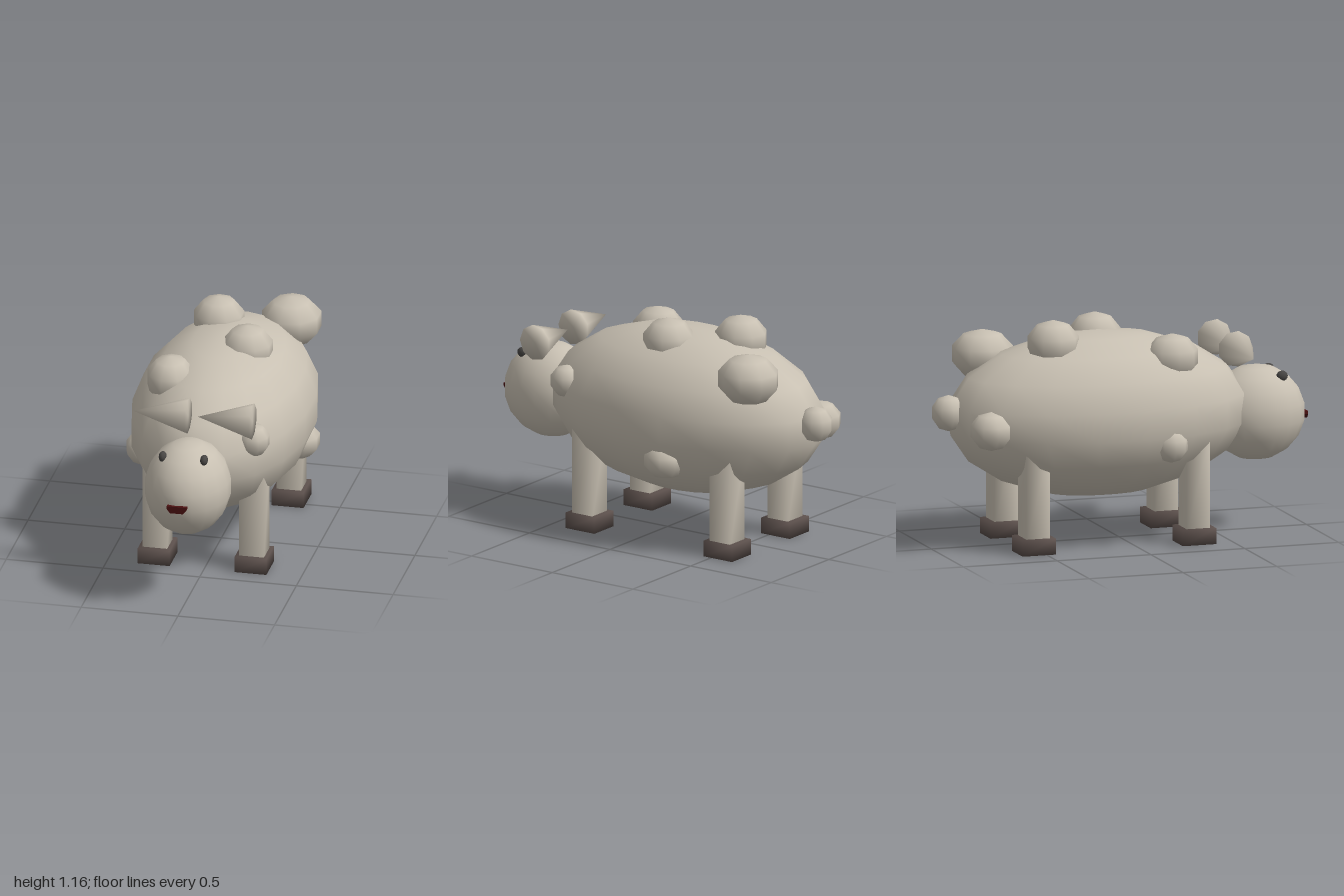
import * as THREE from 'three';
import { mergeVertices } from 'three/addons/utils/BufferGeometryUtils.js';

// Shares the corners of a geometry so its shading runs smoothly over the edges
function soften(geometry) {
  geometry.deleteAttribute('normal');
  geometry.deleteAttribute('uv');
  const soft = mergeVertices(geometry);
  soft.computeVertexNormals();
  return soft;
}

export function createModel() {
  const group = new THREE.Group();
  const material = (name, color) => {
    const m = new THREE.MeshStandardMaterial({ color });
    m.name = name;
    return m;
  };
  const wool = material('wool', 0xc8c0b2);
  const hoofBrown = material('hoofBrown', 0x5c504c);
  const eyeGrey = material('eyeGrey', 0x484644);
  const mouthRed = material('mouthRed', 0x4c1212);

  const add = (name, geometry, mat, position, scale = [1, 1, 1]) => {
    const mesh = new THREE.Mesh(geometry, mat);
    mesh.name = name;
    mesh.position.set(...position);
    mesh.scale.set(...scale);
    group.add(mesh);
    return mesh;
  };

  const midX = -0.01;

  // Body and head
  const bigSphere = new THREE.SphereGeometry(1, 18, 9, Math.PI / 2);
  add('body', bigSphere, wool, [midX, 0.652, -0.12], [0.461, 0.423, 0.793]);
  add('head', bigSphere, wool, [midX, 0.6, 0.725], [0.219, 0.245, 0.255]);

  // Wool tufts and tail: centre, then radii
  const tuftSphere = new THREE.SphereGeometry(1, 9, 5);
  const tufts = [
    [[0.215, 0.94, -0.655], [0.16, 0.13, 0.165]],
    [[-0.1, 1.03, -0.385], [0.136, 0.127, 0.14]],
    [[0.115, 1.016, -0.09], [0.136, 0.127, 0.14]],
    [[-0.215, 0.95, 0.21], [0.127, 0.122, 0.14]],
    [[-0.25, 0.635, -0.765], [0.112, 0.1, 0.112]],
    [[0.265, 0.755, 0.435], [0.085, 0.085, 0.09]],
    [[0.345, 0.475, -0.235], [0.115, 0.095, 0.118]],
    [[-0.375, 0.53, 0.15], [0.087, 0.09, 0.09]],
  ];
  for (const [centre, radii] of tufts) add('woolTuft', tuftSphere, wool, centre, radii);
  add('tail', tuftSphere, wool, [midX, 0.695, -0.912], [0.088, 0.093, 0.09]);

  // Square legs with wider hooves
  const leg = soften(new THREE.BoxGeometry(0.128, 0.5, 0.125));
  const hoof = soften(new THREE.BoxGeometry(0.165, 0.082, 0.178));
  for (const side of [-1, 1]) {
    for (const z of [0.313, -0.541]) {
      const x = midX + side * 0.25;
      add('leg', leg, wool, [x, 0.3, z]);
      add('hoof', hoof, hoofBrown, [x, 0.041, z]);
    }
  }

  // Cone ears, both lying on their side with the tip towards -x
  const ear = soften(new THREE.ConeGeometry(0.093, 0.283, 9));
  for (const x of [-0.176, 0.157]) {
    add('ear', ear, wool, [x, 0.933, 0.61]).rotation.z = Math.PI / 2;
  }

  // Eyes
  const eye = new THREE.SphereGeometry(1, 10, 8);
  for (const side of [-1, 1]) {
    add('eye', eye, eyeGrey, [midX + side * 0.107, 0.796, 0.83], [0.02, 0.027, 0.03]);
  }

  // Mouth: a small slab tapering downwards, set into the face
  const mouth = new THREE.Shape([
    [-0.051, 0.019], [-0.051, 0.004], [-0.034, -0.018],
    [0.034, -0.018], [0.051, 0.004], [0.051, 0.019],
  ].map(([x, y]) => new THREE.Vector2(x, y)));
  const mouthSlab = new THREE.ExtrudeGeometry(mouth, { depth: 0.045, bevelEnabled: false });
  add('mouth', mouthSlab, mouthRed, [midX, 0.576, 0.943]);

  return group;
}
